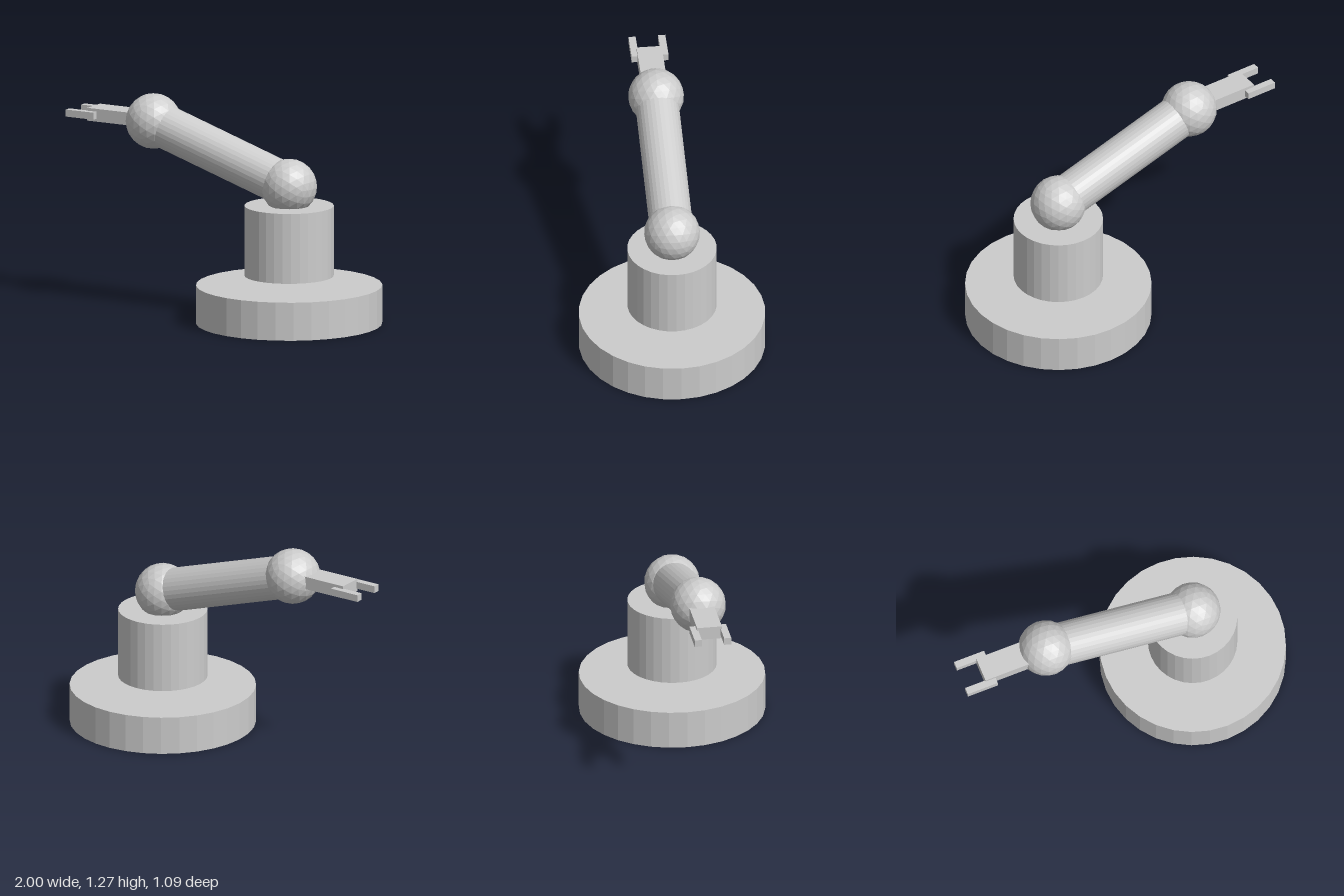
import * as THREE from 'three';

export function createModel() {
  const model = new THREE.Group();
  const grey = new THREE.MeshStandardMaterial({ color: 0xcccccc });
  grey.name = 'light grey';

  function add(name, geometry, x, y, z) {
    // unshared vertices give every facet its own flat normal
    const flat = geometry.index ? geometry.toNonIndexed() : geometry;
    flat.computeVertexNormals();
    const mesh = new THREE.Mesh(flat, grey);
    mesh.name = name;
    mesh.position.set(x, y, z);
    model.add(mesh);
    return mesh;
  }
  const cylinder = (r, h) => new THREE.CylinderGeometry(r, r, h, 32);

  // Base disc and the turret hovering above it
  const axisX = 0.455;
  add('base', cylinder(0.544, 0.226), axisX, 0.113, 0);
  add('turret', cylinder(0.261, 0.415), axisX, 0.49, 0);

  // Ball joints
  const shoulder = new THREE.Vector3(axisX, 0.81, 0);
  const elbow = new THREE.Vector3(-0.467, 1.106, 0);
  add('shoulderJoint', new THREE.IcosahedronGeometry(0.163, 3), ...shoulder);
  add('elbowJoint', new THREE.IcosahedronGeometry(0.163, 3), ...elbow);

  // Arm running between the joint centres
  const span = elbow.clone().sub(shoulder);
  const middle = shoulder.clone().add(elbow).multiplyScalar(0.5);
  const arm = add('arm', cylinder(0.127, span.length()), ...middle);
  arm.quaternion.setFromUnitVectors(new THREE.Vector3(0, 1, 0), span.normalize());

  // Wrist block and two gripper fingers
  add('wrist', new THREE.BoxGeometry(0.3, 0.076, 0.147), -0.725, 1.117, 0);
  for (const side of [-1, 1]) {
    add(side > 0 ? 'frontFinger' : 'backFinger',
      new THREE.BoxGeometry(0.188, 0.042, 0.042), -0.906, 1.117, side * 0.087);
  }
  return model;
}
